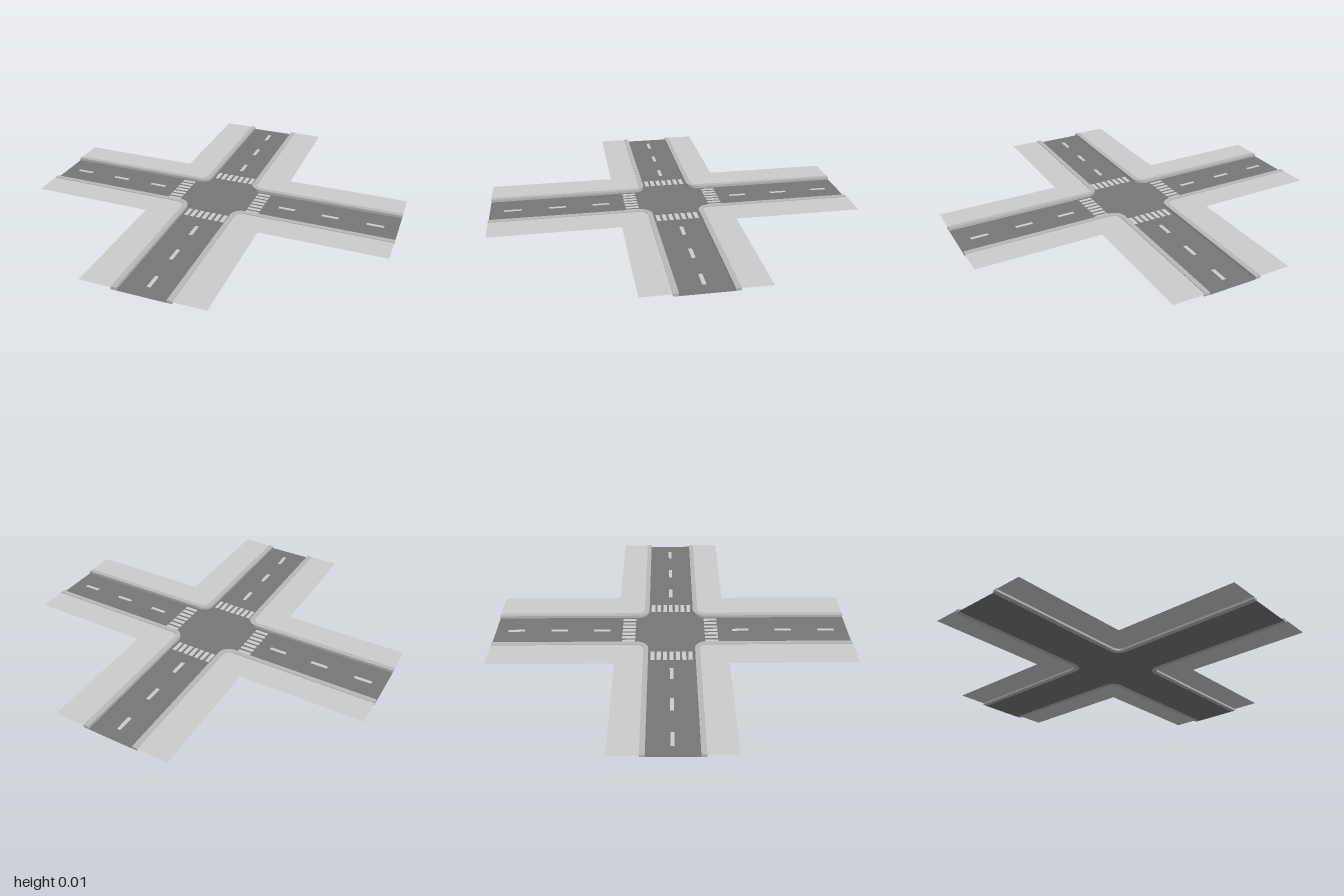
import * as THREE from 'three';

const CX = -0.0015, CZ = -0.0025;   // crossing centre
const HALF = 0.128, RADIUS = 0.065; // half road width, corner fillet
const CURB = 0.027, CURB_TOP = 0.015, WALK_Y = 0.012;

const mat = (color) => new THREE.MeshStandardMaterial({ color, side: THREE.DoubleSide });

// Plan line along the road edge round one corner, set back by e; runs from the z end to the x end
function edge(sx, sz, e) {
  const r = RADIUS - e, n = 10;
  const ox = CX + sx * (HALF + RADIUS), oz = CZ + sz * (HALF + RADIUS);
  const pts = [[CX + sx * (HALF + e), sz]];
  for (let i = 0; i <= n; i++) {
    const t = (i / n) * Math.PI / 2;
    pts.push([ox - sx * r * Math.cos(t), oz - sz * r * Math.sin(t)]);
  }
  pts.push([sx, CZ + sz * (HALF + e)]);
  return pts;
}

// Plan points (x, z) to a shape that lies flat after rotateX(-90 deg)
const plan = (pts) => new THREE.Shape(pts.map(([x, z]) => new THREE.Vector2(x, -z)));

function flat(pts, y) {
  return new THREE.ShapeGeometry(plan(pts)).rotateX(-Math.PI / 2).translate(0, y, 0);
}

export function createModel() {
  const model = new THREE.Group();
  const asphalt = mat(0x777777), stone = mat(0xb8b8b8), grey = mat(0xcccccc);
  const add = (name, geometry, material, parent = model) => {
    const mesh = new THREE.Mesh(geometry, material);
    mesh.name = name;
    parent.add(mesh);
  };

  // Road: cross with rounded inner corners
  add('road', flat([
    ...edge(1, 1, 0), ...edge(1, -1, 0).reverse(),
    ...edge(-1, -1, 0), ...edge(-1, 1, 0).reverse(),
  ], 0), asphalt);

  // A raised curb and an L-shaped pavement at each corner
  for (const sx of [-1, 1]) for (const sz of [-1, 1]) {
    const corner = new THREE.Group();
    corner.name = `${sz > 0 ? 'front' : 'back'}${sx > 0 ? 'Left' : 'Right'}Corner`;
    model.add(corner);

    const curb = new THREE.ExtrudeGeometry(
      plan([...edge(sx, sz, 0), ...edge(sx, sz, CURB).reverse()]),
      { depth: CURB_TOP, bevelEnabled: false },
    ).rotateX(-Math.PI / 2);
    add('curb', curb, stone, corner);

    const wx = sx * 0.3235 - 0.001, wz = sz * 0.3075 - 0.002;
    add('pavement', flat([
      ...edge(sx, sz, CURB), [sx, wz], [wx, wz], [wx, sz],
    ], WALK_Y), grey, corner);
  }

  // Painted markings: lane dashes and zebra crossings on all four arms
  const markings = new THREE.Group();
  markings.name = 'markings';
  model.add(markings);
  const paint = (name, alongX, along, across, length, width) => {
    const g = new THREE.PlaneGeometry(alongX ? length : width, alongX ? width : length)
      .rotateX(-Math.PI / 2)
      .translate(alongX ? along : across, 0.001, alongX ? across : along);
    add(name, g, grey, markings);
  };
  for (const alongX of [true, false]) for (const s of [-1, 1]) {
    const mid = alongX ? -0.004 : -0.001;
    for (const d of [0.394, 0.636, 0.881]) {
      paint('laneDash', alongX, s * d - 0.003, mid, 0.094, 0.02);
    }
    for (let i = -3; i <= 3; i++) {
      paint('crossingStripe', alongX, s * 0.233 - 0.01, mid + i * 0.0345, 0.074, 0.022);
    }
  }
  return model;
}
